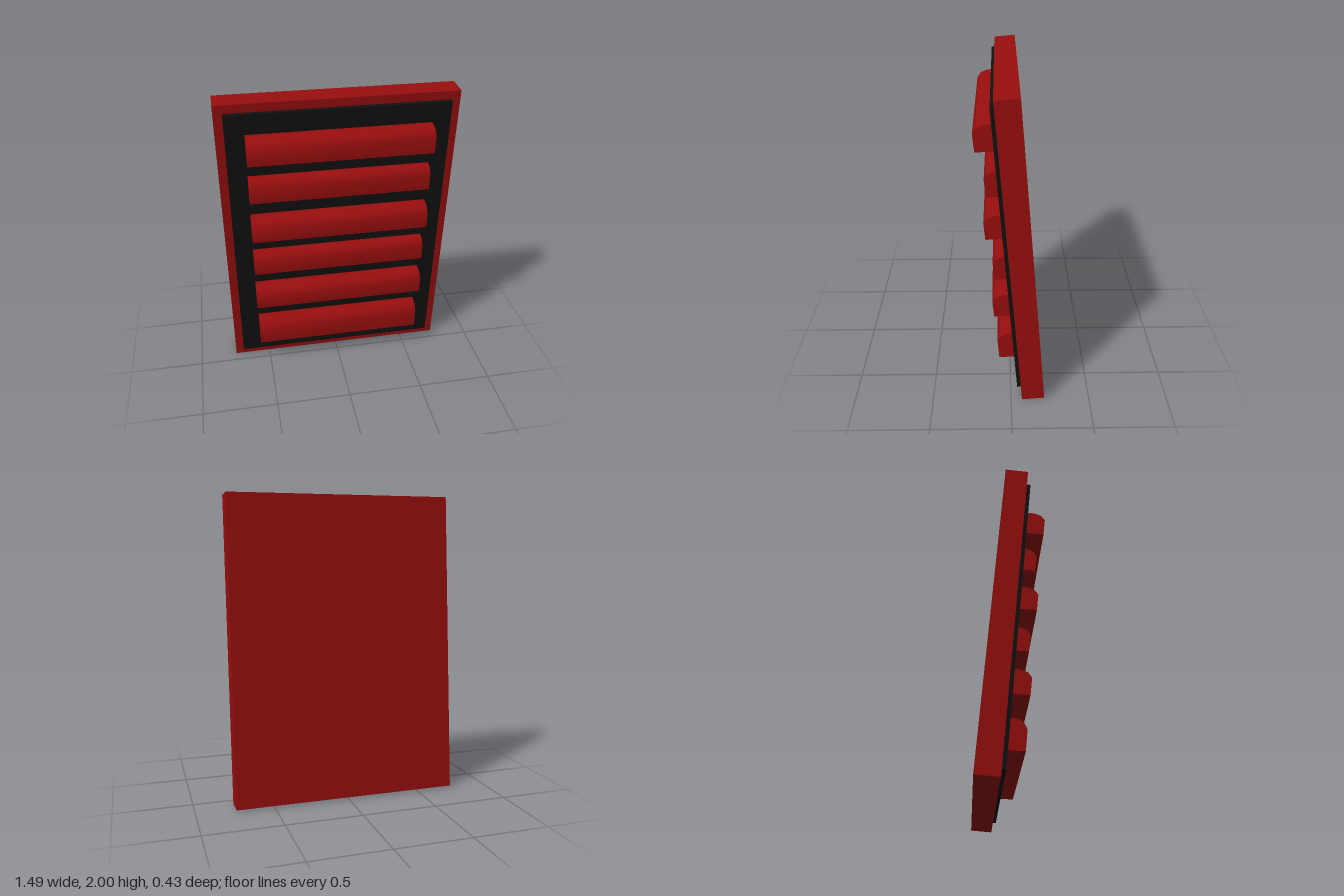
import * as THREE from 'three';
import { toCreasedNormals } from 'three/addons/utils/BufferGeometryUtils.js';

const red = new THREE.MeshStandardMaterial({ color: 0x980e0e });
const black = new THREE.MeshStandardMaterial({ color: 0x111111 });

// The board leans forward: z of its front face at height y
const LEAN = 0.083;
const faceZ = (y) => -0.07 + LEAN * y;

// Extrude a side profile of [z, y] points across the width
function acrossWidth(name, points, width, material, crease = 0.3) {
  const shape = new THREE.Shape(points.map(([z, y]) => new THREE.Vector2(-z, y)));
  let geometry = new THREE.ExtrudeGeometry(shape, { depth: width, bevelEnabled: false });
  geometry.translate(0, 0, -width / 2);
  geometry.rotateY(Math.PI / 2);
  geometry = toCreasedNormals(geometry, crease);
  const mesh = new THREE.Mesh(geometry, material);
  mesh.name = name;
  return mesh;
}

export function createModel() {
  const model = new THREE.Group();
  model.name = 'slattedPanel';

  // Leaning backing board
  model.add(acrossWidth('backBoard',
    [[-0.07, 0], [0.095, 1.988], [-0.048, 2], [-0.213, 0.012]], 1.494, red));

  // Dark panel standing slightly proud of the board
  model.add(acrossWidth('darkPanel', [
    [faceZ(0.055) + 0.025, 0.055], [faceZ(1.93) + 0.024, 1.93],
    [faceZ(1.932) - 0.01, 1.935], [faceZ(0.06) - 0.01, 0.06],
  ], 1.384, black));

  // Slats with a rounded upper front edge: [bottom, top, frontmost z, width]
  const slats = [
    [1.637, 1.8, 0.215, 1.145],
    [1.358, 1.52, 0.155, 1.145],
    [1.08, 1.24, 0.162, 1.145],
    [0.8, 0.96, 0.11, 1.145],
    [0.525, 0.685, 0.115, 1.145],
    [0.195, 0.388, 0.085, 1.13],
  ];
  const group = new THREE.Group();
  group.name = 'slats';
  slats.forEach(([bottom, top, front, width], i) => {
    const h = top - bottom;
    const depth = front - faceZ(top);
    group.add(acrossWidth(`slat${i + 1}`, [
      [faceZ(bottom), bottom + 0.006],
      [front - 0.011, bottom],
      [front, bottom + 0.67 * h],
      [front - 0.18 * depth, bottom + 0.88 * h],
      [front - 0.48 * depth, top - 0.003],
      [front - 0.65 * depth, top],
      [faceZ(top), top],
    ], width, red, 0.95));
  });
  model.add(group);
  return model;
}
